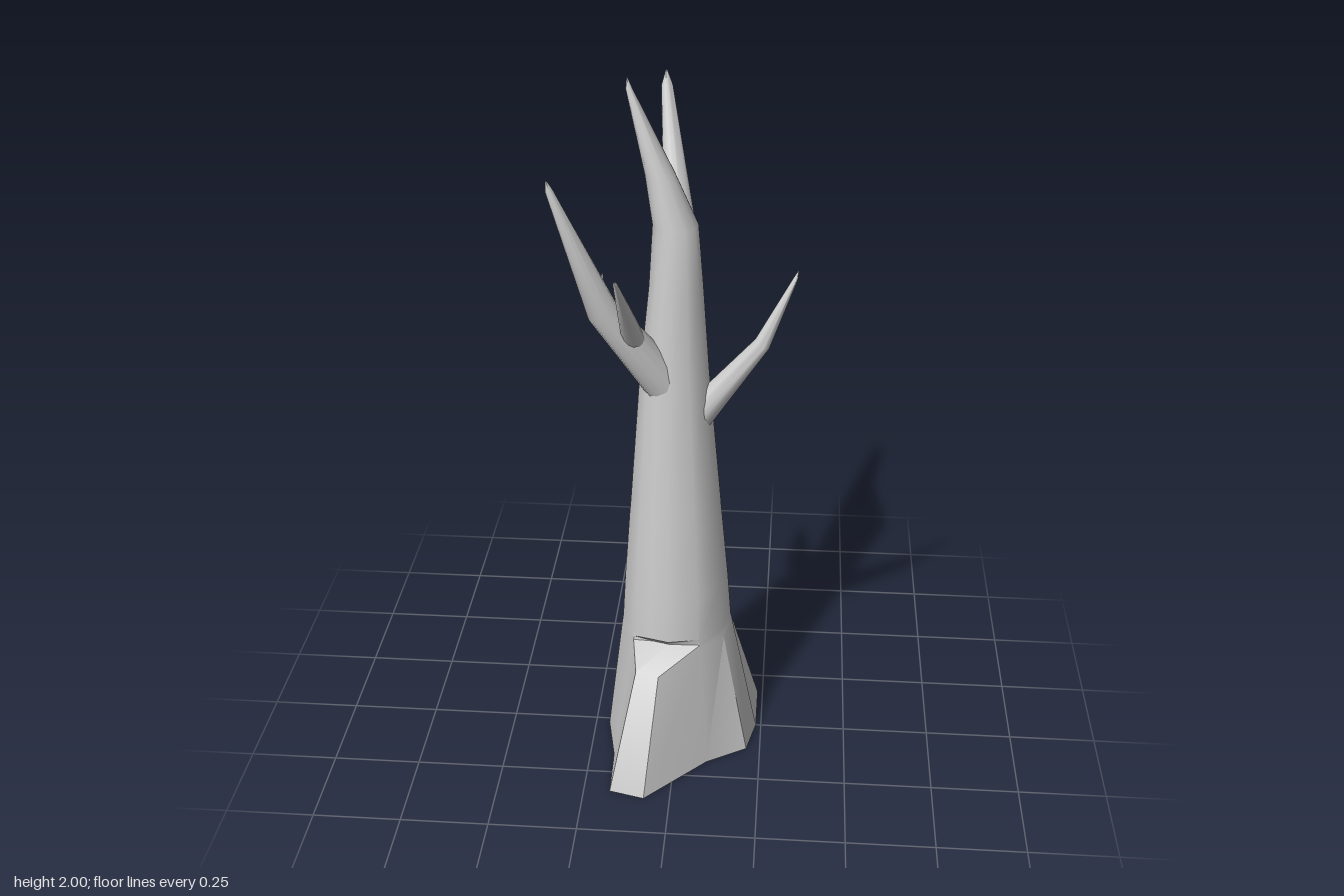
import * as THREE from 'three';
import { toCreasedNormals } from 'three/addons/utils/BufferGeometryUtils.js';

const material = new THREE.MeshStandardMaterial({ color: 0xcccccc, side: THREE.DoubleSide });

// Skin a list of equal-length rings of Vector3
function loft(name, rings, crease) {
  const n = rings[0].length, index = [];
  for (let j = 0; j < rings.length - 1; j++) {
    for (let i = 0; i < n; i++) {
      const a = j * n + i, b = j * n + (i + 1) % n;
      index.push(a, a + n, b, b, a + n, b + n);
    }
  }
  const geo = new THREE.BufferGeometry().setFromPoints(rings.flat());
  geo.setIndex(index);
  const mesh = new THREE.Mesh(toCreasedNormals(geo, crease), material);
  mesh.name = name;
  return mesh;
}

// Tapered, bent limb: stations are [x, y, z, radius]
function limb(name, stations, sides = 14) {
  const pts = stations.map(s => new THREE.Vector3(s[0], s[1], s[2]));
  const rings = pts.map((p, k) => {
    const t = pts[Math.min(k + 1, pts.length - 1)].clone().sub(p).normalize();
    if (k > 0) t.add(p.clone().sub(pts[k - 1]).normalize()).normalize();
    const u = new THREE.Vector3(1, 0, 0).addScaledVector(t, -t.x).normalize();
    const v = u.clone().cross(t);
    return Array.from({ length: sides }, (_, i) => {
      const a = i / sides * Math.PI * 2, r = stations[k][3];
      return p.clone().addScaledVector(u, r * Math.cos(a)).addScaledVector(v, r * Math.sin(a));
    });
  });
  return loft(name, rings, 0.9);
}

// Trunk with an irregular flared foot, a cut root ledge in front and a knot at the back
function trunk() {
  const angles = [0, 30, 62, 95, 115, 137, 172, 205, 240, 270, 303, 335];
  const foot = [[0.235, 0], [0.21, 0.115], [0.095, 0.185], [-0.075, 0.36], [-0.175, 0.335], [-0.18, 0.17],
    [-0.21, 0.02], [-0.18, -0.09], [-0.125, -0.23], [0.02, -0.25], [0.16, -0.24], [0.235, -0.165]];
  const ring = (y, cx, cz, rx, rz, scale = {}) => angles.map((deg, i) => {
    const a = deg * Math.PI / 180, s = scale[i] ?? 1;
    return new THREE.Vector3(cx + rx * s * Math.cos(a), y, cz + rz * s * Math.sin(a));
  });
  const ledge = ring(0.385, -0.003, 0.01, 0.162, 0.165);
  ledge[3].set(-0.04, 0.345, 0.245);
  ledge[4].set(-0.105, 0.35, 0.23);
  return loft('trunk', [
    foot.map(([x, z]) => new THREE.Vector3(x, 0, z)),
    ledge,
    ring(0.397, -0.003, 0.01, 0.16, 0.163, { 3: 0.9, 4: 0.9 }),
    ring(0.415, -0.004, 0.012, 0.157, 0.161),
    ring(0.55, -0.005, 0.014, 0.148, 0.15),
    ring(0.765, -0.007, 0.017, 0.13, 0.13, { 10: 1.14 }),
    ring(0.785, -0.007, 0.017, 0.128, 0.128, { 10: 0.93 }),
    ring(0.81, -0.007, 0.017, 0.126, 0.126),
    ring(1.2, -0.01, 0.018, 0.094, 0.085),
    ring(1.45, -0.006, 0.013, 0.072, 0.07),
    ring(1.62, -0.008, 0.008, 0.06, 0.062),
    ring(1.75, -0.047, 0.002, 0.04, 0.043),
    ring(1.97, -0.125, -0.005, 0.009, 0.009),
    ring(2, -0.13, -0.005, 0.001, 0.001),
  ], 0.75);
}

export function createModel() {
  const group = new THREE.Group();
  group.name = 'deadTree';
  group.add(
    trunk(),
    limb('backBranch', [[-0.012, 1.29, -0.01, 0.066], [-0.01, 1.49, -0.212, 0.047],
      [-0.058, 1.88, -0.345, 0.016], [-0.06, 1.92, -0.353, 0.002]]),
    limb('leftBranch', [[0.05, 1.07, 0.03, 0.045], [0.225, 1.295, 0.028, 0.023],
      [0.308, 1.485, 0.024, 0.006], [0.314, 1.505, 0.024, 0.001]]),
    limb('rightBranch', [[-0.04, 1.19, 0.05, 0.058], [-0.188, 1.425, 0.138, 0.042],
      [-0.308, 1.765, 0.182, 0.01], [-0.314, 1.79, 0.184, 0.002]]),
    limb('frontTwig', [[-0.11, 1.32, 0.1, 0.032], [-0.118, 1.42, 0.185, 0.023],
      [-0.13, 1.585, 0.335, 0.006], [-0.131, 1.597, 0.345, 0.001]]),
    limb('sideTwig', [[-0.2, 1.42, 0.13, 0.02], [-0.2, 1.455, 0.075, 0.012], [-0.2, 1.48, 0.02, 0.001]]),
  );
  return group;
}
